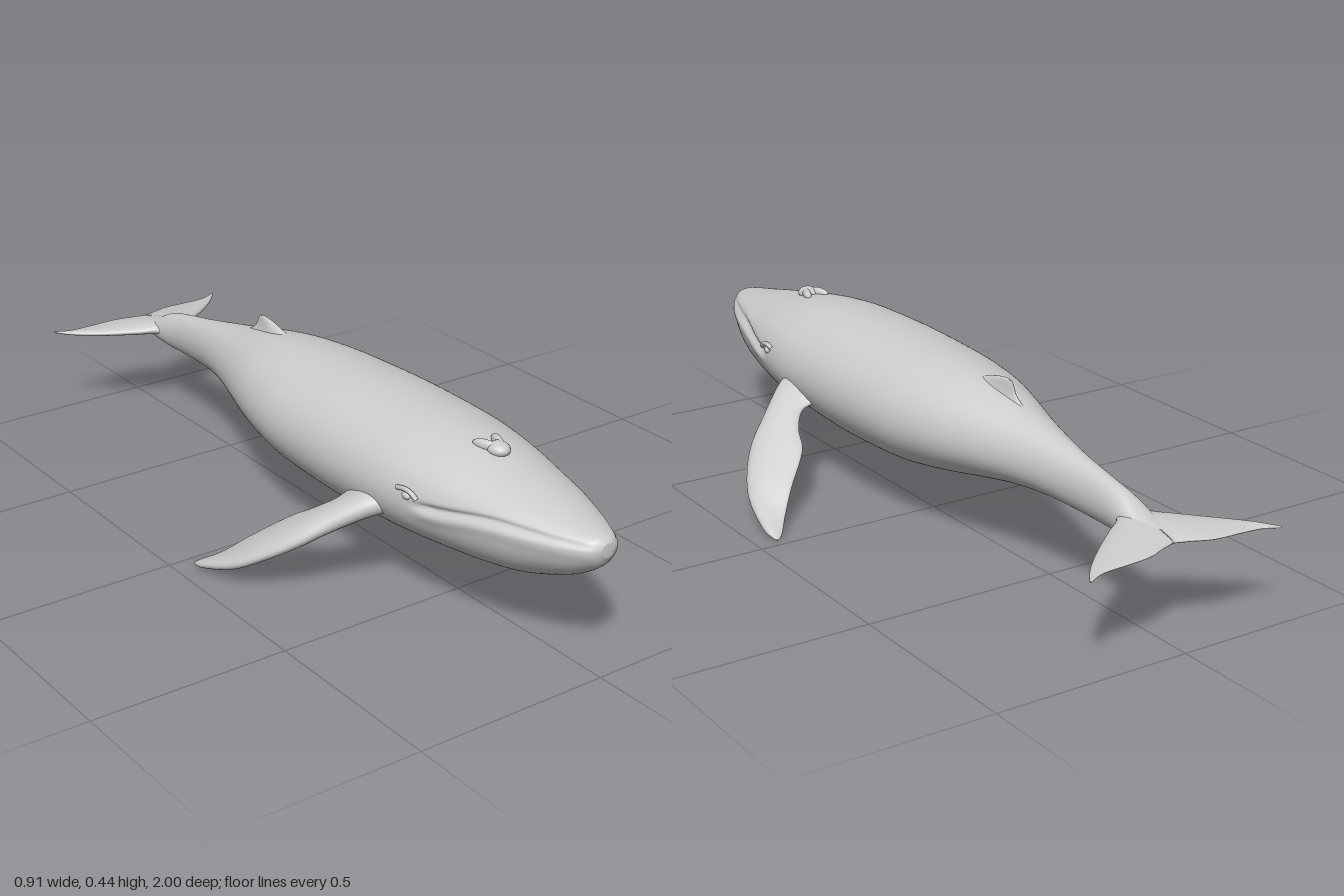
import * as THREE from 'three';

const material = new THREE.MeshStandardMaterial({ color: 0xcccccc });

// Smooth interpolation of rows of numbers, several steps per row
function smoothRows(rows, steps) {
  const out = [];
  const at = (i) => rows[Math.min(rows.length - 1, Math.max(0, i))];
  for (let i = 0; i < rows.length - 1; i++) {
    for (let s = 0; s < steps; s++) {
      const t = s / steps;
      out.push(rows[i].map((b, k) => {
        const a = at(i - 1)[k], c = at(i + 1)[k], d = at(i + 2)[k];
        return b + 0.5 * t * (c - a + t * (2 * a - 5 * b + 4 * c - d + t * (3 * (b - c) + d - a)));
      }));
    }
  }
  out.push(rows[rows.length - 1]);
  return out;
}

// Skin over closed rings of points, with a fan at each end
function loft(name, rings) {
  const n = rings[0].length;
  const pos = [], index = [];
  rings.forEach((r) => r.forEach((p) => pos.push(p.x, p.y, p.z)));
  for (let i = 0; i < rings.length - 1; i++) {
    for (let j = 0; j < n; j++) {
      const k = (j + 1) % n, a = i * n, b = a + n;
      index.push(a + j, b + j, b + k, a + j, b + k, a + k);
    }
  }
  [0, rings.length - 1].forEach((i) => {
    const c = rings[i].reduce((s, p) => s.add(p), new THREE.Vector3()).divideScalar(n);
    const id = pos.length / 3;
    pos.push(c.x, c.y, c.z);
    for (let j = 0; j < n; j++) {
      const a = i * n + j, b = i * n + (j + 1) % n;
      if (i === 0) index.push(id, a, b);
      else index.push(id, b, a);
    }
  });
  const geo = new THREE.BufferGeometry();
  geo.setAttribute('position', new THREE.Float32BufferAttribute(pos, 3));
  geo.setIndex(index);
  geo.computeVertexNormals();
  const mesh = new THREE.Mesh(geo, material);
  mesh.name = name;
  return mesh;
}

// Fin lofted from rows: leading edge xyz, trailing edge xyz, half thickness
function blade(name, rows, side = 1) {
  const sec = smoothRows(rows, 5).map((r) => {
    const lead = new THREE.Vector3(r[0], r[1], r[2]);
    const trail = new THREE.Vector3(r[3], r[4], r[5]);
    return {
      mid: lead.clone().add(trail).multiplyScalar(0.5),
      chord: lead.sub(trail).multiplyScalar(0.5),
      t: r[6],
    };
  });
  const rings = sec.map(({ mid, chord, t }, i) => {
    const span = sec[Math.min(i + 1, sec.length - 1)].mid.clone().sub(sec[Math.max(i - 1, 0)].mid);
    const up = chord.clone().cross(span).normalize();
    const ring = [];
    for (let j = 0; j < 28; j++) {
      const a = (j / 28) * Math.PI * 2;
      const p = mid.clone().addScaledVector(chord, Math.cos(a))
        .addScaledVector(up, t * Math.sin(a) * (0.8 + 0.3 * Math.cos(a)));
      p.x *= side;
      ring.push(p);
    }
    return side < 0 ? ring.reverse() : ring;
  });
  return loft(name, rings);
}

// Body rows: z, top, bottom, half width, height of widest line
const bodyRows = [
  [1.0, 0.338, 0.305, 0.018, 0.322], [0.985, 0.35, 0.278, 0.042, 0.322],
  [0.95, 0.358, 0.25, 0.064, 0.32], [0.9, 0.367, 0.223, 0.088, 0.317],
  [0.8, 0.387, 0.186, 0.125, 0.31], [0.7, 0.405, 0.168, 0.152, 0.304],
  [0.6, 0.424, 0.16, 0.175, 0.3], [0.5, 0.437, 0.154, 0.192, 0.295],
  [0.4, 0.444, 0.148, 0.199, 0.292], [0.2, 0.447, 0.136, 0.2, 0.29],
  [0, 0.441, 0.141, 0.192, 0.289], [-0.1, 0.436, 0.153, 0.18, 0.29],
  [-0.2, 0.427, 0.17, 0.159, 0.292], [-0.3, 0.41, 0.189, 0.128, 0.292],
  [-0.4, 0.387, 0.205, 0.095, 0.29], [-0.5, 0.366, 0.213, 0.067, 0.286],
  [-0.6, 0.345, 0.212, 0.047, 0.278], [-0.7, 0.326, 0.21, 0.037, 0.268],
  [-0.78, 0.307, 0.21, 0.038, 0.257], [-0.84, 0.28, 0.221, 0.04, 0.25],
  [-0.9, 0.262, 0.234, 0.03, 0.248], [-0.94, 0.25, 0.242, 0.01, 0.246],
];

function makeBody() {
  const n = 128;
  const rings = smoothRows(bodyRows, 6).map(([z, top, bottom, w, mid]) => {
    const ring = [];
    // Mouth groove and lower lip fade out behind the jaw
    const jaw = THREE.MathUtils.smoothstep(z, 0.53, 0.6);
    const mouth = 0.333 - 0.03 * THREE.MathUtils.smoothstep(0.8 - z, 0, 0.26);
    for (let j = 0; j < n; j++) {
      const a = (j / n) * Math.PI * 2, s = Math.sin(a);
      const y = mid + s * (s > 0 ? top - mid : mid - bottom);
      const groove = Math.exp(-(((y - mouth) / 0.008) ** 2));
      const lip = Math.exp(-(((y - mouth + 0.022) / 0.014) ** 2));
      const x = Math.cos(a) * w * (1 + jaw * (0.025 * lip - 0.07 * groove));
      ring.push(new THREE.Vector3(x, y, z));
    }
    return ring;
  });
  return loft('body', rings);
}

const flipperRows = [
  [0.13, 0.265, 0.48, 0.13, 0.245, 0.28, 0.042],
  [0.2, 0.247, 0.435, 0.205, 0.225, 0.3, 0.034],
  [0.285, 0.195, 0.37, 0.248, 0.19, 0.255, 0.029],
  [0.345, 0.153, 0.325, 0.272, 0.152, 0.195, 0.027],
  [0.395, 0.108, 0.265, 0.345, 0.09, 0.125, 0.023],
  [0.435, 0.06, 0.185, 0.388, 0.046, 0.08, 0.018],
  [0.455, 0.022, 0.075, 0.422, 0.016, 0.038, 0.011],
  [0.447, 0.009, 0.03, 0.439, 0.007, 0.025, 0.003],
];

const flukeRows = [
  [0, 0.262, -0.72, 0, 0.247, -0.945, 0.024],
  [0.04, 0.257, -0.795, 0.04, 0.246, -0.957, 0.02],
  [0.09, 0.252, -0.832, 0.09, 0.244, -0.973, 0.016],
  [0.165, 0.246, -0.89, 0.165, 0.242, -0.976, 0.011],
  [0.225, 0.243, -0.945, 0.22, 0.241, -0.98, 0.007],
  [0.265, 0.241, -0.993, 0.262, 0.241, -1.0, 0.002],
];

const dorsalRows = [
  [0, 0.4, -0.14, 0, 0.37, -0.42, 0.03],
  [0, 0.428, -0.235, 0, 0.405, -0.362, 0.015],
  [0, 0.44, -0.285, 0, 0.432, -0.345, 0.008],
  [0, 0.444, -0.315, 0, 0.442, -0.338, 0.003],
];

// Small smooth swelling
function bump(name, size, place) {
  const mesh = new THREE.Mesh(new THREE.SphereGeometry(1, 20, 14), material);
  mesh.name = name;
  mesh.scale.set(...size);
  mesh.position.set(...place);
  return mesh;
}

export function createModel() {
  const model = new THREE.Group();
  model.name = 'whale';
  model.add(makeBody(), blade('dorsalFin', dorsalRows));

  for (const side of [1, -1]) {
    const label = side > 0 ? 'left' : 'right';
    model.add(blade(label + 'Flipper', flipperRows, side));
    model.add(blade(label + 'Fluke', flukeRows, side));

    // Eye with a brow fold arching over it
    model.add(bump(label + 'Eye', [0.008, 0.009, 0.014], [side * 0.184, 0.317, 0.53]));
    const arch = new THREE.CatmullRomCurve3([
      [0.182, 0.318, 0.565], [0.185, 0.33, 0.55], [0.187, 0.334, 0.53], [0.187, 0.328, 0.5],
    ].map(([x, y, z]) => new THREE.Vector3(side * x, y, z)));
    const brow = new THREE.Mesh(new THREE.TubeGeometry(arch, 16, 0.006, 8), material);
    brow.name = label + 'Brow';
    model.add(brow);

    // Raised blowhole ridge
    const ridge = bump(label + 'Blowhole', [0.011, 0.014, 0.034], [side * 0.018, 0.426, 0.605]);
    ridge.rotation.y = side * -0.35;
    model.add(ridge);
  }
  // Splash guard in front of the blowholes
  model.add(bump('splashGuard', [0.026, 0.018, 0.03], [0, 0.422, 0.63]));
  return model;
}
